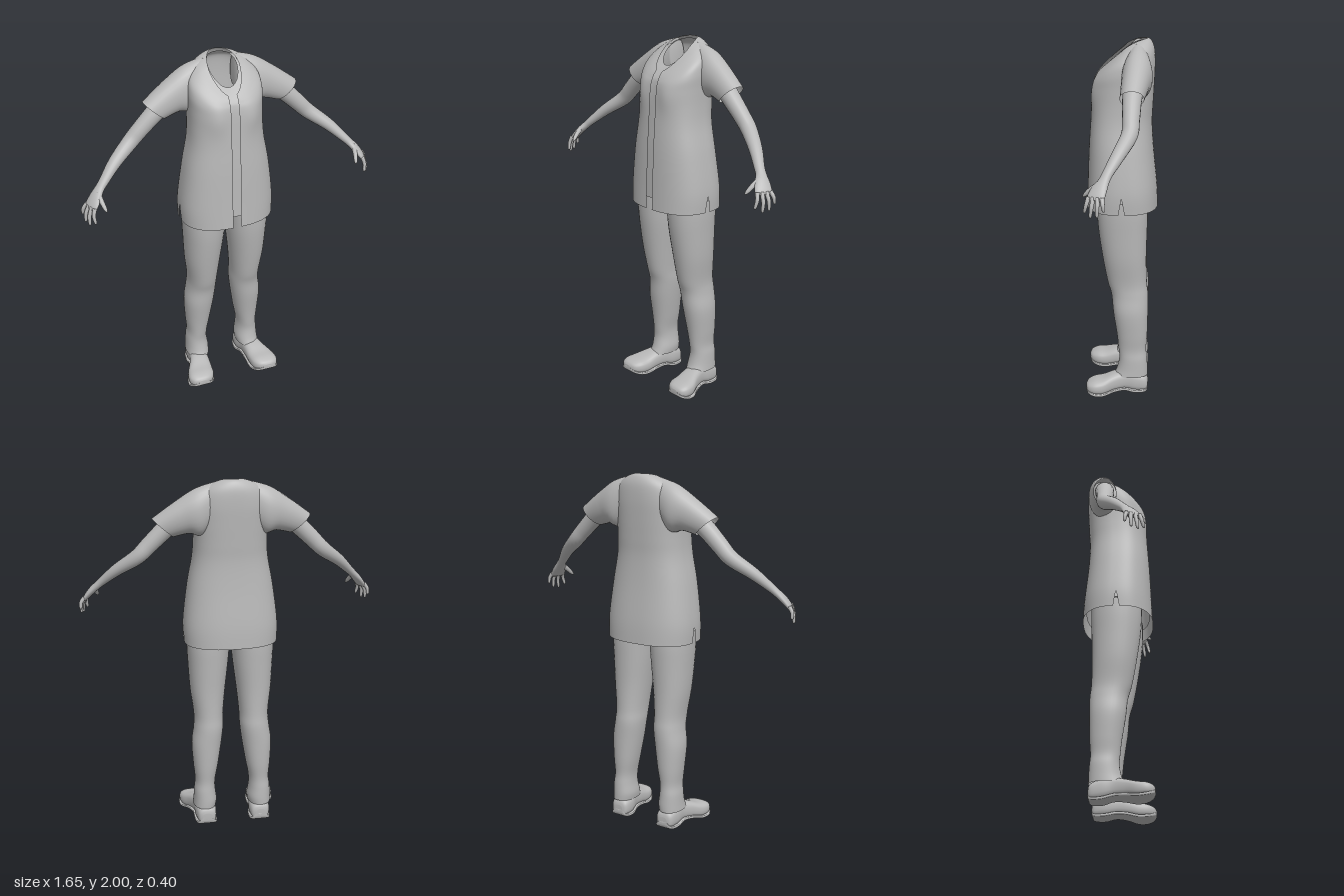
import * as THREE from 'three';
import { mergeGeometries, mergeVertices } from 'three/addons/utils/BufferGeometryUtils.js';

const V = (x, y, z) => new THREE.Vector3(x, y, z);
const spow = (v, p) => Math.sign(v) * Math.abs(v) ** p;

// Smoothly resample rows of numbers (Catmull-Rom on every component)
function resample(rows, n) {
  const out = [], last = rows.length - 1;
  for (let i = 0; i < last; i++) {
    const [a, b, c, d] = [rows[Math.max(i - 1, 0)], rows[i], rows[i + 1], rows[Math.min(i + 2, last)]];
    for (let k = 0; k < n; k++) {
      const t = k / n;
      out.push(b.map((_, j) => 0.5 * (2 * b[j] + (c[j] - a[j]) * t
        + (2 * a[j] - 5 * b[j] + 4 * c[j] - d[j]) * t * t
        + (3 * b[j] - a[j] - 3 * c[j] + d[j]) * t * t * t)));
    }
  }
  out.push(rows[last]);
  return out;
}

// Skin a list of point rings; optional closing round and end caps
function skin(rings, closed = true, capA = false, capB = false) {
  const n = rings[0].length, pos = [], idx = [];
  rings.forEach(r => r.forEach(p => pos.push(p.x, p.y, p.z)));
  for (let i = 0; i < rings.length - 1; i++) {
    for (let j = 0; j < (closed ? n : n - 1); j++) {
      const a = i * n + j, b = i * n + (j + 1) % n;
      idx.push(a, a + n, b, b, a + n, b + n);
    }
  }
  const cap = (row, flip) => {
    const c = V(0, 0, 0);
    rings[row].forEach(p => c.addScaledVector(p, 1 / n));
    const m = pos.push(c.x, c.y, c.z) / 3 - 1;
    for (let j = 0; j < n; j++) {
      const a = row * n + j, b = row * n + (j + 1) % n;
      idx.push(m, flip ? b : a, flip ? a : b);
    }
  };
  if (capA) cap(0, false);
  if (capB) cap(rings.length - 1, true);
  const g = new THREE.BufferGeometry();
  g.setAttribute('position', new THREE.Float32BufferAttribute(pos, 3));
  g.setIndex(idx);
  g.computeVertexNormals();
  return g;
}

// Ring of a superellipse spanned by two half-axes
function ring(c, u, v, p = 1, n = 28) {
  return Array.from({ length: n }, (_, i) => {
    const a = i / n * Math.PI * 2;
    return c.clone().addScaledVector(u, spow(Math.cos(a), p)).addScaledVector(v, spow(Math.sin(a), p));
  });
}

// Limb along a path; rows: x, y, z, half-width, half-thickness
const across = V(-0.37, 0, 0.93).normalize();
function limb(rows, n = 5, sides = 20) {
  const r = resample(rows, n);
  return skin(r.map((q, i) => {
    const a = r[Math.max(i - 1, 0)], b = r[Math.min(i + 1, r.length - 1)];
    const t = V(b[0] - a[0], b[1] - a[1], b[2] - a[2]).normalize();
    const w = across.clone().addScaledVector(t, -across.dot(t)).normalize();
    const nrm = t.clone().cross(w);
    return ring(V(q[0], q[1], q[2]), w.multiplyScalar(q[3]), nrm.multiplyScalar(q[4]), 1, sides);
  }), true, true, true);
}

// Torso surface point; row: front y, back y, half-width, front z, back z, roundness
function torsoPoint([yf, yb, hw, zf, zb, p], a) {
  const c = Math.cos(a), s = Math.sin(a);
  const y = yb + (yf - yb) * ((1 + s) / 2) ** 1.7;
  const x = hw * spow(c, p);
  let z = (zf + zb) / 2 + (zf - zb) / 2 * spow(s, p);
  if (s > 0) z += 0.014 * Math.exp(-(((Math.abs(x) - 0.1) / 0.06) ** 2) - ((y - 1.72) / 0.09) ** 2);
  return V(x, y, z);
}

const torsoRows = [
  [1.08, 1.08, 0.26, 0.195, -0.2, 0.8], [1.2, 1.2, 0.261, 0.19, -0.195, 0.8],
  [1.4, 1.4, 0.236, 0.182, -0.175, 0.8], [1.55, 1.55, 0.208, 0.172, -0.166, 0.8],
  [1.65, 1.65, 0.2, 0.164, -0.17, 0.8], [1.73, 1.76, 0.2, 0.157, -0.176, 0.8],
  [1.775, 1.86, 0.202, 0.15, -0.18, 0.82], [1.8, 1.94, 0.188, 0.14, -0.176, 0.9],
  [1.818, 1.985, 0.14, 0.13, -0.16, 1], [1.83, 2.0, 0.085, 0.12, -0.14, 1.1],
];

// Open jacket: two front panels and a back, with slits at the side hems
function jacketGeometry() {
  const rows = resample(torsoRows, 6);
  const panel = (from, to) => {
    const g = skin(rows.map(r => Array.from({ length: 31 }, (_, i) => {
      const a0 = from(r), a1 = to(r);
      return torsoPoint(r, a0 + (a1 - a0) * i / 30);
    })), false);
    g.deleteAttribute('normal');
    return g;
  };
  const slit = r => 0.045 * Math.max(0, (1.17 - r[1]) / 0.09);
  const edge = r => Math.acos((0.023 / r[2]) ** (1 / r[5]));
  const g = mergeVertices(mergeGeometries([
    panel(slit, edge),
    panel(r => Math.PI - edge(r), r => Math.PI - slit(r)),
    panel(r => Math.PI + slit(r), r => Math.PI * 2 - slit(r)),
  ]), 1e-4);
  g.computeVertexNormals();
  return g;
}

// Undershirt: inset torso with a scooped neck
function undershirtGeometry() {
  const rows = torsoRows.slice(1, 8).map(([a, b, w, f, k, p]) => [a, b, w - 0.013, f - 0.013, k + 0.013, p]);
  rows[0][0] = rows[0][1] = 1.14;
  rows.push([1.83, 1.97, 0.13, 0.1, -0.145, 1], [1.86, 1.985, 0.078, 0.065, -0.132, 1]);
  return skin(resample(rows, 5).map(r =>
    Array.from({ length: 60 }, (_, i) => torsoPoint(r, i / 60 * Math.PI * 2))));
}

// Sleeve; rows: top x, top y, bottom x, bottom y, centre z, half-depth
function sleeveGeometry() {
  const rows = [
    [0.09, 1.982, 0.08, 1.8, -0.088, 0.05], [0.2, 1.948, 0.165, 1.7, -0.085, 0.08],
    [0.31, 1.878, 0.235, 1.708, -0.075, 0.074], [0.43, 1.79, 0.315, 1.69, -0.06, 0.063],
  ];
  return skin(resample(rows, 7).map(([tx, ty, bx, by, z, d]) =>
    ring(V((tx + bx) / 2, (ty + by) / 2, z), V((tx - bx) / 2, (ty - by) / 2, 0), V(0, 0, d), 0.95)), true, true);
}

// Trouser leg; rows: y, inner x, outer x, front z, back z
function legGeometry() {
  const rows = [
    [1.14, -0.005, 0.245, 0.135, -0.145], [1.05, 0.006, 0.244, 0.134, -0.146], [0.95, 0.016, 0.239, 0.126, -0.143],
    [0.8, 0.034, 0.23, 0.104, -0.139], [0.66, 0.048, 0.213, 0.078, -0.142],
    [0.58, 0.05, 0.216, 0.056, -0.15], [0.48, 0.062, 0.229, 0.046, -0.15],
    [0.35, 0.083, 0.222, 0.026, -0.147], [0.26, 0.1, 0.214, 0.016, -0.141],
    [0.2, 0.1, 0.22, 0.012, -0.146], [0.14, 0.092, 0.223, 0.024, -0.15], [0.1, 0.096, 0.226, 0.042, -0.15],
  ];
  return skin(resample(rows, 5).map(([y, a, b, f, k]) => ring(V((a + b) / 2, y, (f + k) / 2),
    V((b - a) / 2, 0, 0), V(0, 0, (f - k) / 2), 0.92, 32)), true, true);
}

// Shoe; rows: z, centre x, half-width, bottom y, top y
const shoeRows = [
  [-0.152, 0.156, 0.025, 0.025, 0.07], [-0.138, 0.156, 0.05, 0.004, 0.1], [-0.08, 0.158, 0.06, 0.002, 0.125],
  [-0.02, 0.166, 0.054, 0.016, 0.128], [0.04, 0.178, 0.062, 0.013, 0.116], [0.1, 0.195, 0.076, 0.001, 0.096],
  [0.15, 0.203, 0.076, 0.004, 0.088], [0.185, 0.207, 0.055, 0.016, 0.074], [0.198, 0.209, 0.022, 0.03, 0.058],
];
function shoeGeometry(sole) {
  return skin(resample(shoeRows, 5).map(([z, x, w, y0, y1]) => {
    const top = sole ? y0 + 0.02 : y1, half = sole ? w + 0.004 : w;
    return ring(V(x, (y0 + top) / 2, z), V(half, 0, 0), V(0, (top - y0) / 2, 0), sole ? 0.4 : 0.75);
  }), true, true, true);
}

export function createModel() {
  const model = new THREE.Group();
  const grey = new THREE.MeshStandardMaterial({ color: 0xb8b8b8, side: THREE.DoubleSide });
  grey.name = 'plain grey';
  const add = (parent, name, geometry) => {
    const m = new THREE.Mesh(geometry, grey);
    m.name = name;
    parent.add(m);
  };

  add(model, 'jacket', jacketGeometry());
  add(model, 'undershirt', undershirtGeometry());
  // Trouser seat joining the two legs
  add(model, 'trouserSeat', skin(resample([[1.1, 0.19, 0.1], [1.13, 0.232, 0.13], [1.2, 0.24, 0.14], [1.3, 0.225, 0.14]], 4)
    .map(([y, w, d]) => ring(V(0, y, -0.005), V(w, 0, 0), V(0, 0, d), 0.85, 40)), true, true, true));

  for (const [side, name] of [[1, 'left'], [-1, 'right']]) {
    const half = new THREE.Group();
    half.name = name + 'Limbs';
    half.scale.x = side;
    model.add(half);
    add(half, 'sleeve', sleeveGeometry());
    add(half, 'leg', legGeometry());
    add(half, 'shoe', shoeGeometry(false));
    add(half, 'shoeSole', shoeGeometry(true));
    // Arm running into the palm
    add(half, 'arm', limb([
      [0.28, 1.8, -0.068, 0.055, 0.055], [0.37, 1.722, -0.06, 0.05, 0.05], [0.45, 1.645, -0.057, 0.045, 0.046],
      [0.513, 1.583, -0.05, 0.043, 0.042], [0.615, 1.507, 0.002, 0.036, 0.033], [0.69, 1.437, 0.05, 0.028, 0.024],
      [0.722, 1.406, 0.068, 0.029, 0.021], [0.75, 1.375, 0.088, 0.041, 0.02], [0.776, 1.34, 0.105, 0.047, 0.016],
      [0.786, 1.322, 0.11, 0.042, 0.011],
    ]));
    // Fingers; offset across the palm, then tip position
    for (const [o, x, y, z] of [[0.036, 0.775, 1.258, 0.164], [0.012, 0.8, 1.24, 0.134],
      [-0.012, 0.813, 1.246, 0.1], [-0.035, 0.818, 1.275, 0.066]]) {
      const b = V(0.783, 1.338, 0.108).addScaledVector(across, o), t = V(x, y, z);
      const m = b.clone().lerp(t, 0.5).add(V(0.008, 0.004, 0));
      add(half, 'finger', limb([[...b, 0.012, 0.012], [...m, 0.0105, 0.0105],
        [...m.clone().lerp(t, 0.8), 0.008, 0.008], [...t, 0.003, 0.003]], 4, 10));
    }
    add(half, 'thumb', limb([[0.737, 1.395, 0.088, 0.016, 0.014], [0.728, 1.362, 0.134, 0.014, 0.013],
      [0.719, 1.335, 0.162, 0.01, 0.01], [0.714, 1.323, 0.174, 0.003, 0.003]], 4, 10));
  }
  return model;
}
